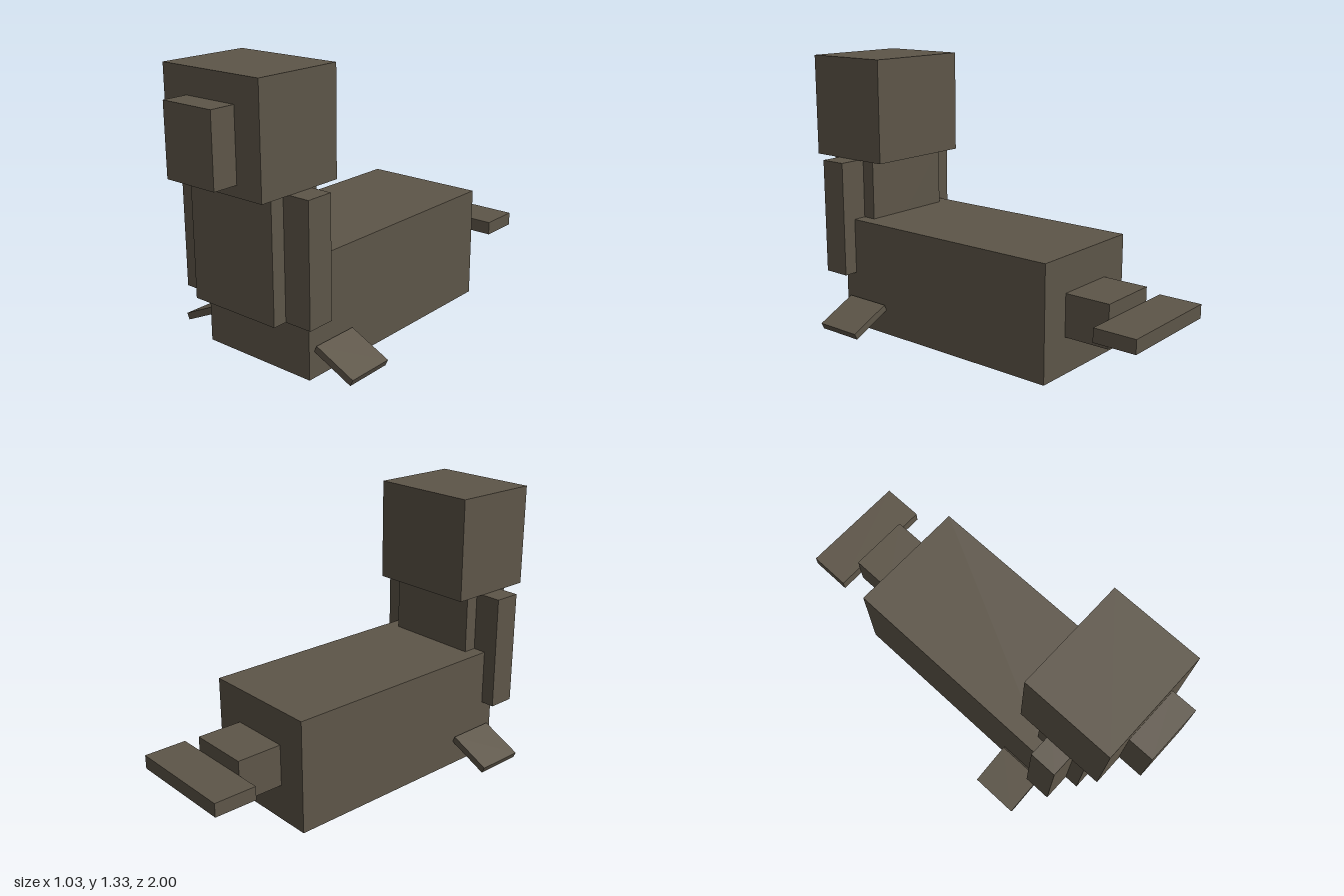
import * as THREE from 'three';

export function createModel() {
  const model = new THREE.Group();
  model.name = 'seal';
  const fur = new THREE.MeshStandardMaterial({ color: 0x5d5548 });
  fur.name = 'grey brown fur';

  // Box from its lower and upper limits on each axis
  function block(name, [x0, x1], [y0, y1], [z0, z1]) {
    const mesh = new THREE.Mesh(new THREE.BoxGeometry(x1 - x0, y1 - y0, z1 - z0), fur);
    mesh.position.set((x0 + x1) / 2, (y0 + y1) / 2, (z0 + z1) / 2);
    mesh.name = name;
    model.add(mesh);
    return mesh;
  }

  // Body, neck and head
  block('body', [-0.305, 0.305], [0, 0.548], [-0.57, 0.658]);
  block('neck', [-0.238, 0.238], [0.276, 0.839], [0.525, 0.795]);
  block('head', [-0.273, 0.273], [0.839, 1.334], [0.437, 0.88]);
  block('snout', [-0.137, 0.137], [0.891, 1.215], [0.88, 1]);

  // Tail and its flat fin
  block('tail', [-0.152, 0.152], [0.176, 0.378], [-0.793, -0.57]);
  block('tailFin', [-0.273, 0.273], [0.244, 0.31], [-1, -0.793]);

  // Neck sides and drooping front flippers, mirrored
  for (const side of [1, -1]) {
    const label = side > 0 ? 'left' : 'right';
    const xs = side > 0 ? [0.238, 0.375] : [-0.375, -0.238];
    block(label + 'NeckSide', xs, [0.276, 0.839], [0.592, 0.726]);

    const flipper = block(label + 'Flipper', [-0.11, 0.11], [-0.0165, 0.0165], [0.387, 0.624]);
    flipper.position.x = side * 0.409;
    flipper.position.y = 0.091;
    flipper.rotation.z = -side * THREE.MathUtils.degToRad(25);
  }

  return model;
}
